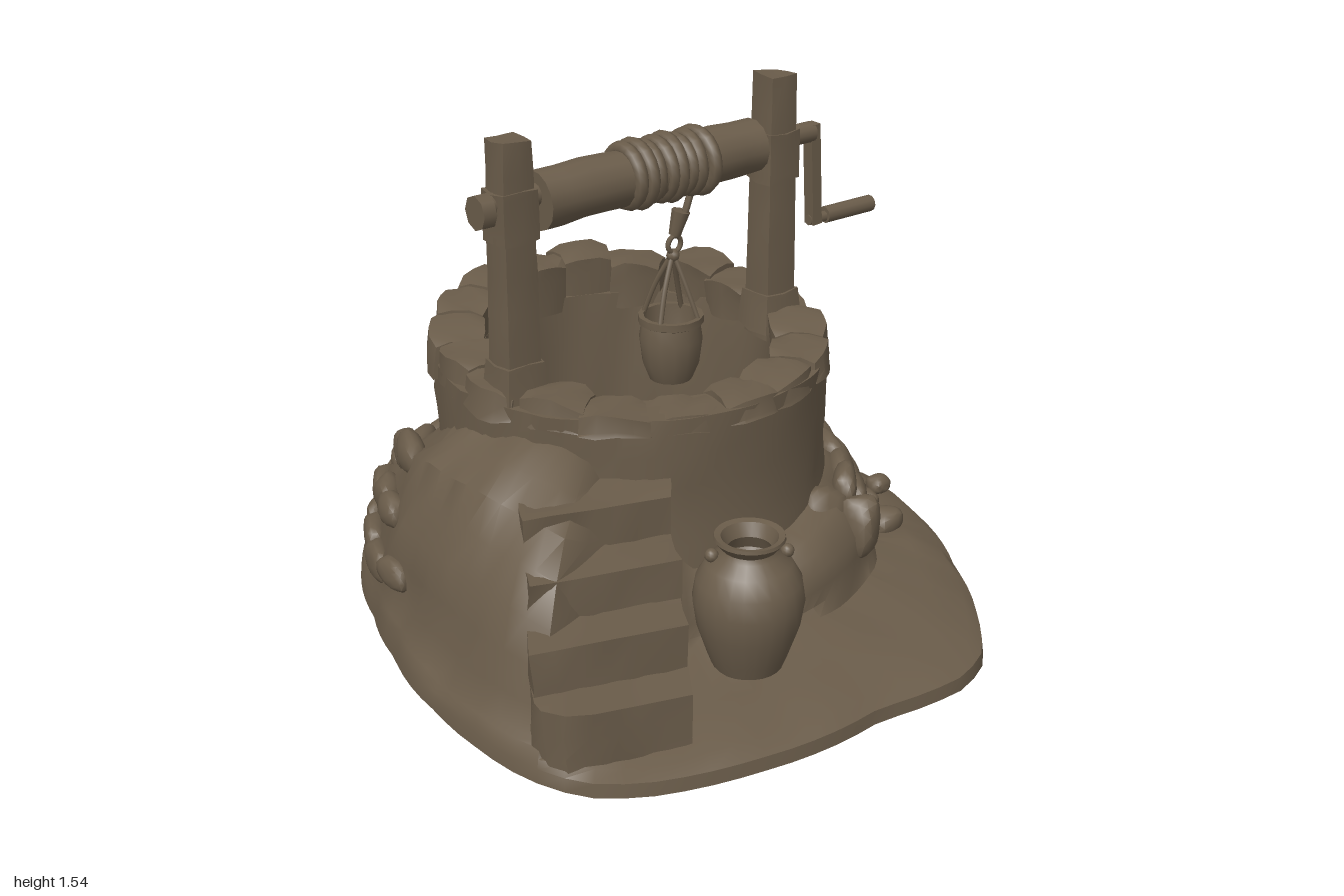
import * as THREE from 'three';
import { mergeVertices, toCreasedNormals } from 'three/addons/utils/BufferGeometryUtils.js';

const clay = new THREE.MeshStandardMaterial({ color: 0x6a5c4a });
clay.name = 'brownClay';

const V = (x, y, z) => new THREE.Vector3(x, y, z);
const TAU = Math.PI * 2;
const CX = -0.075, CZ = -0.212; // well centre
let seed = 7;
const rnd = () => ((seed = (seed * 16807) % 2147483647) / 2147483647) * 2 - 1;
const wob = (x, y, z) => Math.sin(x * 13 + y * 7 + 1) * Math.sin(z * 15 - y * 11) + 0.5 * Math.sin(x * 31 + z * 27 + y * 23);

function add(parent, name, geo, pos) {
  const m = new THREE.Mesh(geo, clay);
  m.name = name;
  if (pos) m.position.set(...pos);
  parent.add(m);
  return m;
}

// Move every vertex by a rule, then rebuild normals
function warp(geo, rule, crease = 0.7) {
  geo.deleteAttribute('uv');
  geo.deleteAttribute('normal');
  const g = mergeVertices(geo, 1e-4), p = g.attributes.position, v = V(0, 0, 0);
  for (let i = 0; i < p.count; i++) {
    rule(v.fromBufferAttribute(p, i));
    p.setXYZ(i, v.x, v.y, v.z);
  }
  return toCreasedNormals(g, crease);
}

// Surface through closed rings, each given as (angle) => Vector3
function loft(rings, n = 80, crease = 0.7) {
  const pos = [], idx = [];
  rings.forEach((f) => { for (let j = 0; j < n; j++) pos.push(...f((j / n) * TAU).toArray()); });
  for (let i = 0; i < rings.length - 1; i++) for (let j = 0; j < n; j++) {
    const a = i * n + j, b = i * n + (j + 1) % n;
    idx.push(a, a + n, b, b, a + n, b + n);
  }
  const g = new THREE.BufferGeometry();
  g.setAttribute('position', new THREE.Float32BufferAttribute(pos, 3));
  g.setIndex(idx);
  return toCreasedNormals(g, crease);
}

// Turns plan points [x, z, value] into lookup by angle: {r, h}
function polar(points) {
  const t = points.map(([x, z, h = 0]) => ({
    a: (Math.atan2(z - CZ, x - CX) + TAU) % TAU, r: Math.hypot(x - CX, z - CZ), h,
  })).sort((p, q) => p.a - q.a);
  return (ang) => {
    const a = ((ang % TAU) + TAU) % TAU;
    let i = t.findIndex((p) => p.a > a);
    if (i < 0) i = 0;
    const q = t[i], p = t[(i + t.length - 1) % t.length];
    const k = ((a - p.a + TAU) % TAU) / ((q.a - p.a + TAU) % TAU);
    return { r: p.r + (q.r - p.r) * k, h: p.h + (q.h - p.h) * k };
  };
}
const at = (a, r, y) => V(CX + Math.cos(a) * r, y, CZ + Math.sin(a) * r);

// Plan outline of the ground slab
const outline = polar([[0.24, -1], [0.4, -0.99], [0.63, -0.83], [0.79, -0.63], [0.88, -0.37], [0.915, 0], [0.905, 0.29],
  [0.86, 0.5], [0.78, 0.61], [0.5, 0.74], [0.13, 0.93], [-0.19, 1], [-0.34, 0.98], [-0.48, 0.88], [-0.61, 0.71],
  [-0.71, 0.53], [-0.82, 0.24], [-0.88, 0], [-0.92, -0.21], [-0.91, -0.4], [-0.79, -0.58], [-0.56, -0.79], [-0.34, -0.92], [-0.03, -0.98]]);
// Foot of the mound, with the height where it meets the wall
const foot = polar([[0.65, -0.2, 0.38], [0.64, 0.05, 0.38], [0.5, 0.25, 0.36], [0.3, 0.4, 0.3], [0.05, 0.44, 0.32], [-0.2, 0.55, 0.5],
  [-0.43, 0.85, 0.64], [-0.56, 0.7, 0.68], [-0.69, 0.45, 0.68], [-0.8, 0.2, 0.66], [-0.85, 0, 0.6], [-0.88, -0.2, 0.54], [-0.86, -0.4, 0.44],
  [-0.74, -0.57, 0.4], [-0.52, -0.77, 0.4], [-0.3, -0.88, 0.4], [-0.02, -0.94, 0.4], [0.22, -0.93, 0.38], [0.4, -0.84, 0.38], [0.54, -0.68, 0.38], [0.62, -0.5, 0.38]]);

const skirtY = [0.0, 0.5, 0.82, 1], skirtR = [1, 0.82, 0.5, 0.0];
function skirtPoint(a, k) { // k 0..3 from foot to wall
  const f = foot(a), i = Math.min(2, Math.floor(k)), u = k - i;
  const s = skirtR[i] + (skirtR[i + 1] - skirtR[i]) * u, t = skirtY[i] + (skirtY[i + 1] - skirtY[i]) * u;
  return at(a, 0.555 + (f.r - 0.555) * s, 0.1 + (f.h - 0.1) * t);
}

function buildGround(g) {
  const edge = (s, y) => (a) => at(a, outline(a).r * s, y);
  const ground = (t, y) => (a) => {
    const o = outline(a).r * 0.99, f = foot(a).r + 0.01, p = at(a, o + (f - o) * t, y);
    p.y += 0.008 * wob(p.x, 0, p.z);
    return p;
  };
  const skirt = (k) => (a) => {
    const p = skirtPoint(a, k), w = 0.012 * wob(p.x, p.y, p.z);
    return p.add(V(Math.cos(a) * w, w, Math.sin(a) * w));
  };
  add(g, 'groundMound', loft([edge(0, 0), edge(1, 0), edge(0.995, 0.04), ground(0.1, 0.06), ground(0.5, 0.085), ground(1, 0.1),
    skirt(0.25), skirt(0.6), skirt(1), skirt(1.5), skirt(2), skirt(2.5), skirt(3), (a) => at(a, 0.5, foot(a).h)], 96, 0.8));

  // Rubble stones set into the mound
  const rubble = new THREE.Group();
  rubble.name = 'rubble';
  g.add(rubble);
  const stone = (p, sx, sy, sz, turn) => {
    const off = rnd() * 9;
    const geo = warp(new THREE.IcosahedronGeometry(1, 2), (v) => {
      v.multiplyScalar(1 + 0.14 * Math.sin(v.x * 3 + off) * Math.cos(v.z * 3 - v.y * 2 + off));
      v.set(Math.sign(v.x) * Math.abs(v.x) ** 0.75 * sx, Math.sign(v.y) * Math.abs(v.y) ** 0.75 * sy, v.z * sz);
    });
    add(rubble, 'stone', geo, p).rotation.y = turn;
  };
  [0.3, 1.1, 1.9].forEach((k, row) => {
    for (let i = 0; i < 20; i++) {
      const a = 2.75 + ((i + row * 0.5) / 20) * 3.75 + rnd() * 0.04;
      stone(skirtPoint(a, k + rnd() * 0.15).toArray(), 0.085 + rnd() * 0.015, 0.052 + rnd() * 0.01, 0.04, Math.PI / 2 - a);
    }
  });
  [[0.58, 0.25, 0.08, 0.06], [0.47, 0.27, 0.06, 0.08]].forEach(([x, y, z, s]) => stone([x, y, z], s, 0.1, 0.07, 0.7));
  [[0.73, -0.2, 0.06], [0.7, -0.35, 0.045], [0.77, -0.45, 0.04], [0.66, -0.5, 0.05], [0.63, -0.62, 0.04]]
    .forEach(([x, z, s]) => stone([x, 0.11, z], s, s * 0.75, s, x * 9));

  // Grass tuft
  for (let i = 0; i < 7; i++) {
    const b = add(g, 'grassBlade', new THREE.ConeGeometry(0.008, 0.11, 4), [0.54 + rnd() * 0.03, 0.13, -0.73 + rnd() * 0.03]);
    b.rotation.set(rnd() * 0.7, 0, rnd() * 0.7);
  }
}

function buildStairs(g) {
  [[0.92, 0.22], [0.79, 0.35], [0.645, 0.465], [0.495, 0.58]].forEach(([front, h], i) => {
    const back = 0.29, geo = new THREE.BoxGeometry(0.42, h - 0.02, front - back, 6, 3, 6);
    add(g, 'step', warp(geo, (v) => {
      v.set(v.x - 0.245, v.y + h / 2 + 0.01, v.z + (front + back) / 2);
      if (v.z > back + 0.01) v.z -= (v.x + 0.245) * 0.22; // fronts run askew
      const n = wob(v.x + i, v.y, v.z);
      v.x += n * 0.008; v.y += n * 0.007; v.z += n * 0.008;
      const a = Math.atan2(v.z - CZ, v.x - CX), lim = outline(a).r * 0.985;
      if (Math.hypot(v.x - CX, v.z - CZ) > lim) v.copy(at(a, lim, v.y));
    }));
  });
}

function buildWell(g) {
  const ring = (r, y, rough = 0.008) => (a) => {
    const p = V(CX + Math.cos(a) * r, y, CZ + Math.sin(a) * r * 0.955), w = rough * wob(p.x, p.y, p.z);
    return p.add(V(Math.cos(a) * w, 0, Math.sin(a) * w));
  };
  add(g, 'wellWall', loft([ring(0.6, 0.2), ring(0.595, 0.36), ring(0.585, 0.42), ring(0.583, 0.55), ring(0.587, 0.65), ring(0.585, 0.76),
    ring(0.44, 0.76), ring(0.435, 0.6), ring(0.435, 0.36), ring(0, 0.36, 0)], 72));

  // Coping stones, higher towards the back
  const count = 18, d = TAU / count;
  for (let k = 0; k < count; k++) {
    const a0 = k * d + rnd() * 0.03, up = rnd() * 0.012, out = rnd() * 0.008;
    add(g, 'copingStone', warp(new THREE.BoxGeometry(1, 1, 1, 4, 2, 3), (v) => {
      const e = 1 - 0.16 * (2 * Math.abs(v.x)) ** 4 * (2 * Math.abs(v.z)) ** 2;
      const a = a0 - v.x * d * 0.985, r = 0.513 + v.z * 0.165 * e + out + v.y * -0.012;
      const z = CZ + Math.sin(a) * r * 0.955, x = CX + Math.cos(a) * r;
      const top = 0.822 - 0.05 * Math.sin(a) - 0.016 * Math.cos(a) + up;
      const y = v.y < 0 ? 0.715 + (v.y + 0.5) * 0.1 : top - (0.5 - v.y) * 0.1 - (1 - e) * 0.1;
      const n = 0.006 * wob(x, y, z);
      v.set(x + n, y + n, z - n);
    }, 0.6));
  }
}

function buildJar(g) {
  const profile = [[0, 0.09], [0.1, 0.09], [0.115, 0.13], [0.145, 0.22], [0.157, 0.3], [0.148, 0.36], [0.12, 0.41], [0.085, 0.44],
    [0.078, 0.455], [0.1, 0.482], [0.098, 0.492], [0.08, 0.488], [0.062, 0.45], [0.08, 0.41], [0.06, 0.38], [0, 0.38]];
  const jar = new THREE.Group();
  jar.name = 'jar';
  jar.position.set(0.165, 0, 0.53);
  g.add(jar);
  add(jar, 'jarBody', toCreasedNormals(new THREE.LatheGeometry(profile.map((p) => new THREE.Vector2(...p)), 24), 0.8));
  [-1, 1].forEach((s) => add(jar, 'jarLug', new THREE.SphereGeometry(0.02, 10, 8), [s * 0.105, 0.435, 0]));
}

function buildWindlass(g) {
  const w = new THREE.Group();
  w.name = 'windlass';
  w.position.set(-0.032, 1.325, -0.113);
  w.rotation.y = 0.512;
  g.add(w);
  const block = (name, x, y0, y1, s, taper = 0) => add(w, name, warp(new THREE.BoxGeometry(s, y1 - y0, s, 2, 8, 2), (v) => {
    const t = (v.y + (y1 - y0) / 2) / (y1 - y0), round = Math.abs(v.x) > s * 0.4 && Math.abs(v.z) > s * 0.4 ? 0.88 : 1;
    const n = 0.005 * wob(v.x + x, v.y, v.z), k = (1 - taper * t) * round;
    v.set(v.x * k + n, v.y + n, v.z * k - n);
  }, 0.5), [x, (y0 + y1) / 2 - 1.325, 0]);
  const rod = (name, r, x0, x1, y, n = 12) => {
    const m = add(w, name, new THREE.CylinderGeometry(r, r, x1 - x0, n), [(x0 + x1) / 2, y, 0]);
    m.rotation.z = Math.PI / 2;
    return m;
  };

  // Posts with feet and bearing blocks
  [[-0.463, 1.51], [0.463, 1.54]].forEach(([x, top]) => {
    block('post', x, 0.72, top, 0.122, 0.15);
    block('postFoot', x, 0.75, 0.865, 0.16, 0.15);
    block('bearingBlock', x, 1.22, 1.37, 0.126);
  });

  // Drum, rope coils and axle
  add(w, 'drum', warp(new THREE.CylinderGeometry(0.083, 0.083, 0.76, 14, 10).rotateZ(Math.PI / 2), (v) => {
    const s = 1 + 0.05 * wob(v.x, v.y, v.z);
    v.y *= s; v.z *= s;
    v.y += v.x * 0.02;
  }, 0.8));
  for (let i = 0; i < 8; i++) {
    const coil = add(w, 'ropeCoil', new THREE.TorusGeometry(0.08 + 0.006 * Math.sin(i * 2.1), 0.021, 8, 20), [-0.08 + i * 0.036, 0.004, 0]);
    coil.rotation.set(0, Math.PI / 2 + 0.08 * Math.sin(i * 3), 0);
  }
  rod('axle', 0.032, -0.575, 0.61, 0.01);
  rod('axleKnob', 0.05, -0.575, -0.535, -0.005, 8);

  // Crank
  const arm = add(w, 'crankArm', new THREE.BoxGeometry(0.035, 0.32, 0.04), [0.622, -0.125, 0]);
  arm.rotation.z = 0.06;
  rod('crankRod', 0.017, 0.61, 0.7, -0.272, 8);
  rod('crankHandle', 0.026, 0.675, 0.865, -0.268, 10);
}

function buildBucket(g) {
  const b = new THREE.Group();
  b.name = 'bucket';
  b.position.set(0.04, 0, -0.153);
  g.add(b);
  const tube = (name, pts, r) => add(b, name, new THREE.TubeGeometry(new THREE.CatmullRomCurve3(pts.map((p) => V(...p))), 10, r, 6));
  const profile = [[0, 0.67], [0.065, 0.67], [0.085, 0.72], [0.095, 0.8], [0.088, 0.845], [0.098, 0.85], [0.098, 0.872], [0.082, 0.872], [0.078, 0.8], [0.055, 0.7], [0, 0.7]];
  add(b, 'pail', toCreasedNormals(new THREE.LatheGeometry(profile.map((p) => new THREE.Vector2(...p)), 14), 0.6));
  tube('rope', [[0.075, 1.3, -0.02], [0.045, 1.2, 0], [0.02, 1.12, 0]], 0.011);
  const knot = add(b, 'ropeKnot', new THREE.CylinderGeometry(0.028, 0.018, 0.075, 8), [0.02, 1.155, 0]);
  knot.rotation.z = -0.25;
  add(b, 'hookRing', new THREE.TorusGeometry(0.025, 0.008, 6, 14), [0.01, 1.09, 0]).rotation.y = 0.6;
  add(b, 'hookKnot', new THREE.SphereGeometry(0.02, 8, 6), [0.006, 1.055, 0]);
  // Straps from the rim up to the ring
  for (let i = 0; i < 4; i++) {
    const a = i * TAU / 4 + 0.5, c = Math.cos(a), s = Math.sin(a);
    tube('strap', [[c * 0.088, 0.86, s * 0.088], [c * 0.05, 0.96, s * 0.05], [0.006, 1.065, 0]], 0.008);
  }
}

export function createModel() {
  const g = new THREE.Group();
  g.name = 'stoneWell';
  [buildGround, buildStairs, buildWell, buildJar, buildWindlass, buildBucket].forEach((build) => build(g));
  return g;
}
